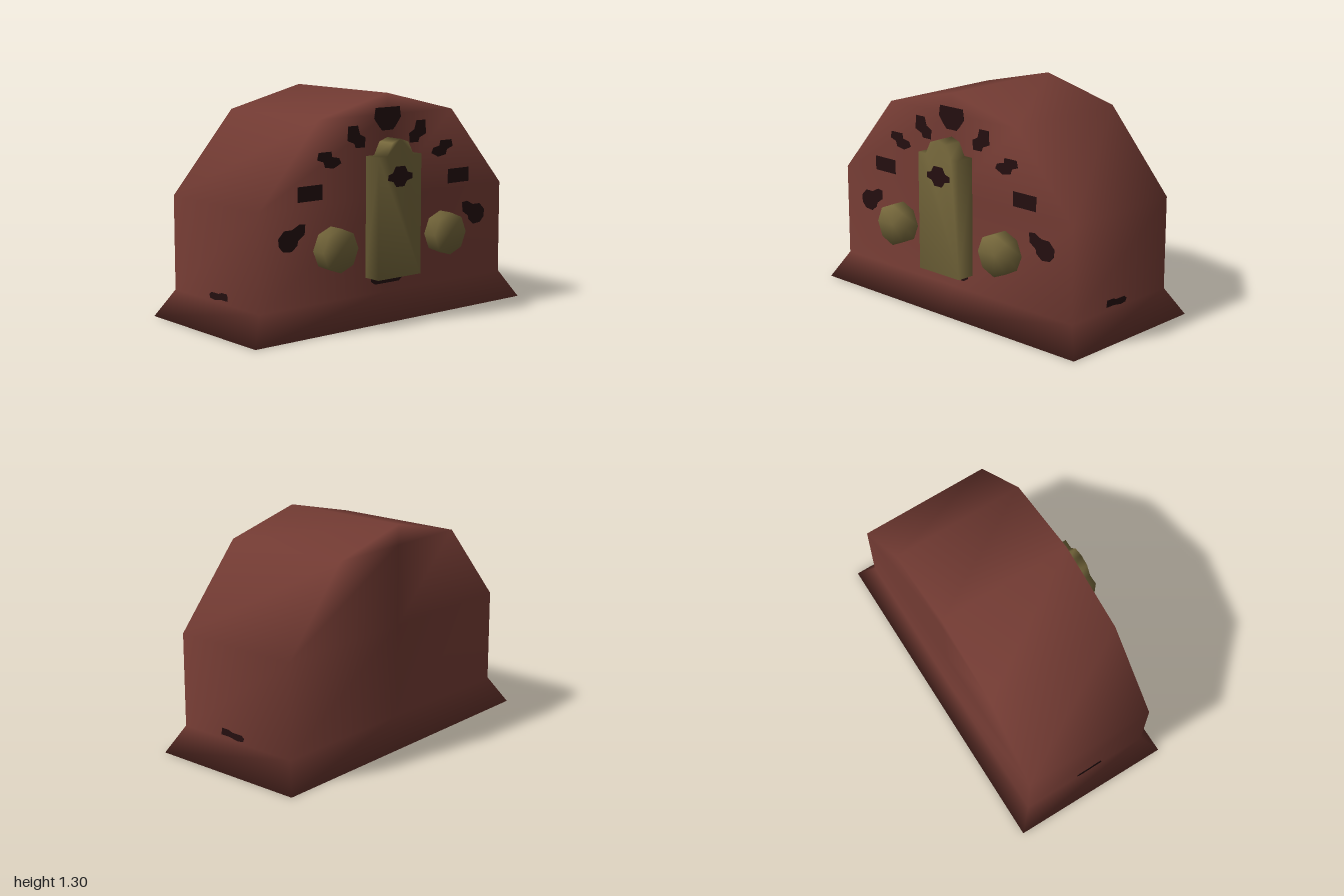
import * as THREE from 'three';
import { mergeVertices } from 'three/addons/utils/BufferGeometryUtils.js';

const material = (name, color) => {
  const m = new THREE.MeshStandardMaterial({ color });
  m.name = name;
  return m;
};

// Share corner vertices so that shading runs smoothly around every edge
function smooth(geometry) {
  geometry.deleteAttribute('uv');
  geometry.deleteAttribute('normal');
  const merged = mergeVertices(geometry, 1e-4);
  merged.computeVertexNormals();
  return merged;
}

const shapeOf = (points) => new THREE.Shape(points.map(([x, y]) => new THREE.Vector2(x, y)));
const mirrored = (points) => points.map(([x, y]) => [-x, y]).reverse();

// Body from horizontal cross-sections: height, half width, front z, back z
function bodyGeometry() {
  const rows = [
    [0, 1, 0.48, -0.505],
    [0.16, 0.91, 0.395, -0.415],
    [0.71, 0.91, 0.395, -0.415],
    [1.18, 0.5, 0.395, -0.415],
    [1.3, 0, 0.395, -0.415],
  ];
  const positions = [];
  const index = [];
  for (const [y, w, front, back] of rows) {
    for (const x of [-w, 0, w]) positions.push(x, y, front);
    for (const x of [w, 0, -w]) positions.push(x, y, back);
  }
  for (let r = 0; r < rows.length - 1; r++) {
    for (let i = 0; i < 6; i++) {
      const a = r * 6 + i;
      const b = r * 6 + ((i + 1) % 6);
      index.push(a, b, b + 6, a, b + 6, a + 6);
    }
  }
  // underside
  index.push(0, 5, 4, 0, 4, 1, 1, 4, 3, 1, 3, 2);
  const geometry = new THREE.BufferGeometry();
  geometry.setAttribute('position', new THREE.Float32BufferAttribute(positions, 3));
  geometry.setIndex(index);
  return smooth(geometry);
}

export function createModel() {
  const group = new THREE.Group();
  const red = material('brick red', 0x733b33);
  const brass = material('dull brass', 0x75673b);
  const dark = material('dark mark', 0x240f10);

  const add = (name, geometry, mat, x = 0, y = 0, z = 0) => {
    const mesh = new THREE.Mesh(geometry, mat);
    mesh.name = name;
    mesh.position.set(x, y, z);
    group.add(mesh);
    return mesh;
  };

  add('body', bodyGeometry(), red);

  // Tall central plate with a stepped, pointed top
  const halfPlate = [[0.16, 0.26], [0.16, 0.955], [0.1, 0.955], [0.06, 1.03]];
  const plate = shapeOf([...halfPlate, [0, 1.05], ...mirrored(halfPlate)]);
  add('centrePlate', smooth(new THREE.ExtrudeGeometry(plate, { depth: 0.115, bevelEnabled: false })), brass, 0, 0, 0.39);

  // Eight-sided knobs
  for (const side of [-1, 1]) {
    const knob = new THREE.CylinderGeometry(0.125, 0.125, 0.095, 8).rotateX(Math.PI / 2);
    add('knob', smooth(knob), brass, side * 0.415, 0.46, 0.4375);
  }

  // Dark marks, as thin plates on the surfaces
  const mark = (name, points, z) =>
    add(name, new THREE.ExtrudeGeometry(shapeOf(points), { depth: 0.003, bevelEnabled: false }), dark, 0, 0, z);
  const FACE = 0.394;

  mark('topMark', [[-0.09, 1.22], [0.09, 1.22], [0.1, 1.16], [0.06, 1.11], [0.04, 1.09], [-0.04, 1.09], [-0.06, 1.11], [-0.1, 1.16]], FACE);
  mark('footMark', [[-0.12, 0.27], [-0.12, 0.23], [-0.09, 0.21], [0.09, 0.21], [0.12, 0.23], [0.12, 0.27]], FACE);
  const halfPlateMark = [[0.03, 0.78], [0.05, 0.81], [0.09, 0.82], [0.09, 0.85], [0.055, 0.86], [0.035, 0.895]];
  mark('plateMark', [...halfPlateMark, ...mirrored(halfPlateMark)], 0.504);

  const sideMarks = [
    [[0.22, 1.13], [0.29, 1.13], [0.295, 1.05], [0.245, 1.03], [0.235, 1.005], [0.17, 1.005], [0.165, 1.06], [0.205, 1.08]],
    [[0.41, 1.0], [0.5, 1.0], [0.51, 0.96], [0.465, 0.945], [0.455, 0.915], [0.395, 0.905], [0.34, 0.93], [0.355, 0.96], [0.405, 0.97]],
    [[0.475, 0.825], [0.645, 0.825], [0.645, 0.74], [0.475, 0.74]],
    [[0.595, 0.615], [0.635, 0.62], [0.685, 0.595], [0.74, 0.595], [0.78, 0.555], [0.775, 0.51], [0.745, 0.48], [0.69, 0.475], [0.65, 0.505], [0.645, 0.53], [0.6, 0.56]],
  ];
  for (const points of sideMarks) {
    mark('dialMarkLeft', points, FACE);
    mark('dialMarkRight', mirrored(points), FACE);
  }

  // Slot-like mark low on each side wall
  const slot = [[-0.105, 0.18], [-0.04, 0.18], [0.02, 0.17], [0.06, 0.175], [0.07, 0.195], [0.05, 0.21], [-0.02, 0.21], [-0.05, 0.22], [-0.1, 0.22]];
  for (const side of [-1, 1]) {
    const mesh = mark('sideMark', side > 0 ? slot : mirrored(slot), 0);
    mesh.rotation.y = (side * Math.PI) / 2;
    mesh.position.x = side * 0.909;
  }

  return group;
}
